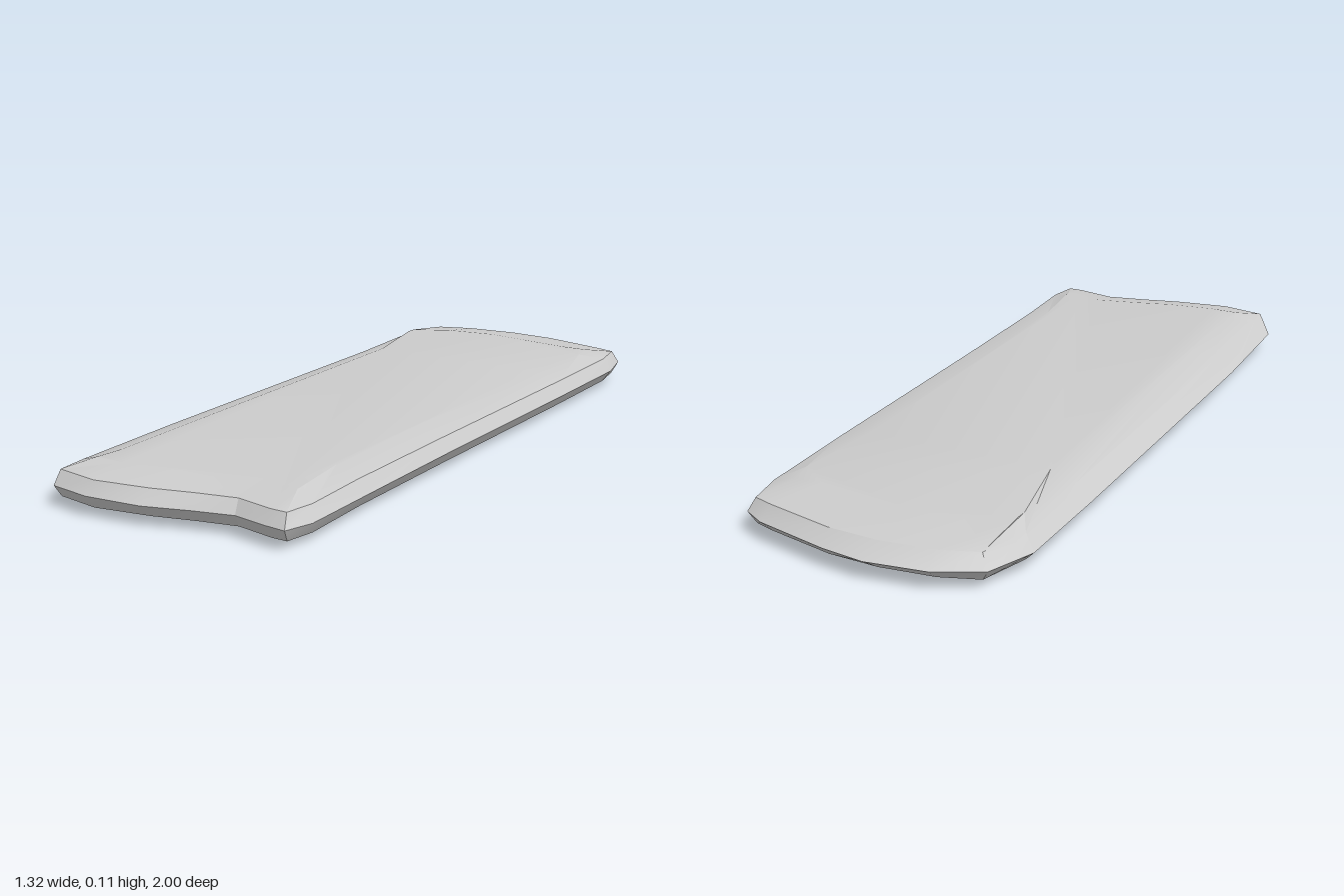
import * as THREE from 'three';
import { toCreasedNormals } from 'three/addons/utils/BufferGeometryUtils.js';

// Cross-section stations around the slab: widest edge x, z; rim x, z; crown x, z
const STATIONS = [
  // rounded back end
  [-0.66, -0.76, -0.63, -0.75, -0.58, -0.60],
  [-0.57, -0.86, -0.55, -0.82, -0.50, -0.69],
  [-0.43, -0.94, -0.42, -0.89, -0.38, -0.76],
  [-0.31, -0.97, -0.29, -0.935, -0.27, -0.79],
  [-0.10, -1.00, -0.10, -0.965, -0.12, -0.83],
  [-0.03, -0.99, -0.04, -0.97, -0.05, -0.86],
  // left long side
  [0.04, -0.89, 0.015, -0.88, -0.01, -0.80],
  [0.16, -0.59, 0.135, -0.585, 0.06, -0.55],
  [0.41, 0.05, 0.385, 0.055, 0.31, 0.08],
  [0.56, 0.42, 0.535, 0.43, 0.46, 0.44],
  [0.65, 0.64, 0.62, 0.62, 0.55, 0.60],
  // wavy front end
  [0.655, 0.72, 0.635, 0.70, 0.56, 0.62],
  [0.60, 0.735, 0.595, 0.715, 0.52, 0.625],
  [0.50, 0.755, 0.485, 0.735, 0.45, 0.64],
  [0.41, 0.82, 0.395, 0.795, 0.35, 0.71],
  [0.31, 0.90, 0.30, 0.865, 0.26, 0.78],
  [0.17, 0.97, 0.165, 0.945, 0.14, 0.85],
  [0.05, 0.995, 0.04, 0.97, 0.06, 0.88],
  // right long side
  [-0.04, 0.92, 0.00, 0.89, 0.04, 0.80],
  [-0.19, 0.58, -0.14, 0.56, -0.07, 0.53],
  [-0.55, -0.33, -0.50, -0.34, -0.43, -0.36],
  [-0.66, -0.62, -0.62, -0.61, -0.57, -0.57],
];

// Rings from underside to top: [column of STATIONS, height]
const RINGS = [[4, 0], [2, 0.02], [0, 0.055], [2, 0.09], [4, 0.11]];

function slabGeometry() {
  const n = STATIONS.length;
  const positions = [];
  const index = [];
  for (const [col, y] of RINGS) {
    for (const s of STATIONS) positions.push(s[col], y, s[col + 1]);
  }

  // bevel bands between neighbouring rings
  for (let r = 0; r < RINGS.length - 1; r++) {
    for (let i = 0; i < n; i++) {
      const j = (i + 1) % n;
      const low = r * n, up = low + n;
      index.push(low + j, low + i, up + i, low + j, up + i, up + j);
    }
  }

  // top and bottom faces
  const contour = STATIONS.map((s) => new THREE.Vector2(s[4], s[5]));
  const topStart = (RINGS.length - 1) * n;
  for (const [a, b, c] of THREE.ShapeUtils.triangulateShape(contour, [])) {
    const clockwise = THREE.ShapeUtils.area([contour[a], contour[b], contour[c]]) < 0;
    const [p, q] = clockwise ? [b, c] : [c, b];
    index.push(topStart + a, topStart + p, topStart + q);
    index.push(a, q, p);
  }

  const geometry = new THREE.BufferGeometry();
  geometry.setAttribute('position', new THREE.Float32BufferAttribute(positions, 3));
  geometry.setIndex(index);
  return toCreasedNormals(geometry, Math.PI / 9);
}

export function createModel() {
  const group = new THREE.Group();
  group.name = 'slab';
  const body = new THREE.Mesh(slabGeometry(), new THREE.MeshStandardMaterial({ color: 0xcccccc }));
  body.name = 'slabBody';
  group.add(body);
  return group;
}
